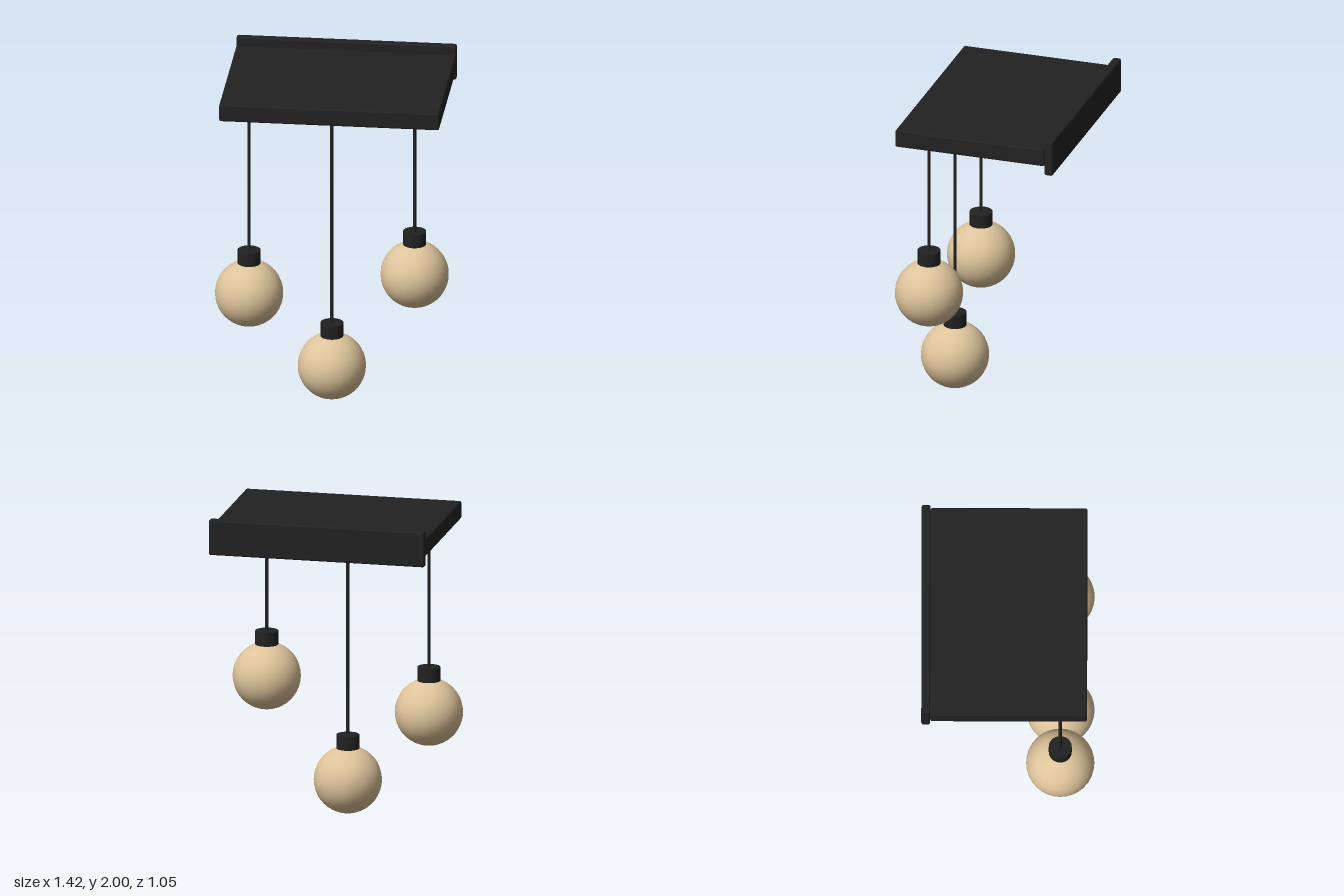
import * as THREE from 'three';
import { RoundedBoxGeometry } from 'three/addons/geometries/RoundedBoxGeometry.js';

export function createModel() {
  const model = new THREE.Group();
  model.name = 'pendantLamp';

  const black = new THREE.MeshStandardMaterial({ color: 0x222222 });
  black.name = 'matte black';
  const cream = new THREE.MeshStandardMaterial({ color: 0xdec49b });
  cream.name = 'warm cream glass';

  const add = (parent, name, geometry, material, x, y, z) => {
    const mesh = new THREE.Mesh(geometry, material);
    mesh.name = name;
    mesh.position.set(x, y, z);
    parent.add(mesh);
  };

  // Horizontal shelf and upright wall plate behind it
  const width = 1.34;
  add(model, 'shelf', new RoundedBoxGeometry(width, 0.11, 0.95, 2, 0.012), black, 0, 1.892, 0.005);
  add(model, 'wallPlate', new RoundedBoxGeometry(width, 0.22, 0.054, 2, 0.012), black, 0, 1.89, -0.497);

  // Three pendants at different heights: [x, globe centre height]
  const radius = 0.207, z = 0.317, cordTop = 1.85;
  const globe = new THREE.SphereGeometry(radius, 32, 20);
  const socket = new THREE.CylinderGeometry(0.07, 0.07, 0.085, 24);
  for (const [x, y] of [[-0.504, 0.66], [0, radius], [0.504, 0.828]]) {
    const pendant = new THREE.Group();
    pendant.name = 'pendant';
    const cordBottom = y + 0.27;
    const length = cordTop - cordBottom;
    add(pendant, 'cord', new THREE.CylinderGeometry(0.01, 0.01, length, 12), black, x, cordBottom + length / 2, z);
    add(pendant, 'socket', socket, black, x, y + 0.2375, z);
    add(pendant, 'globe', globe, cream, x, y, z);
    model.add(pendant);
  }
  return model;
}
